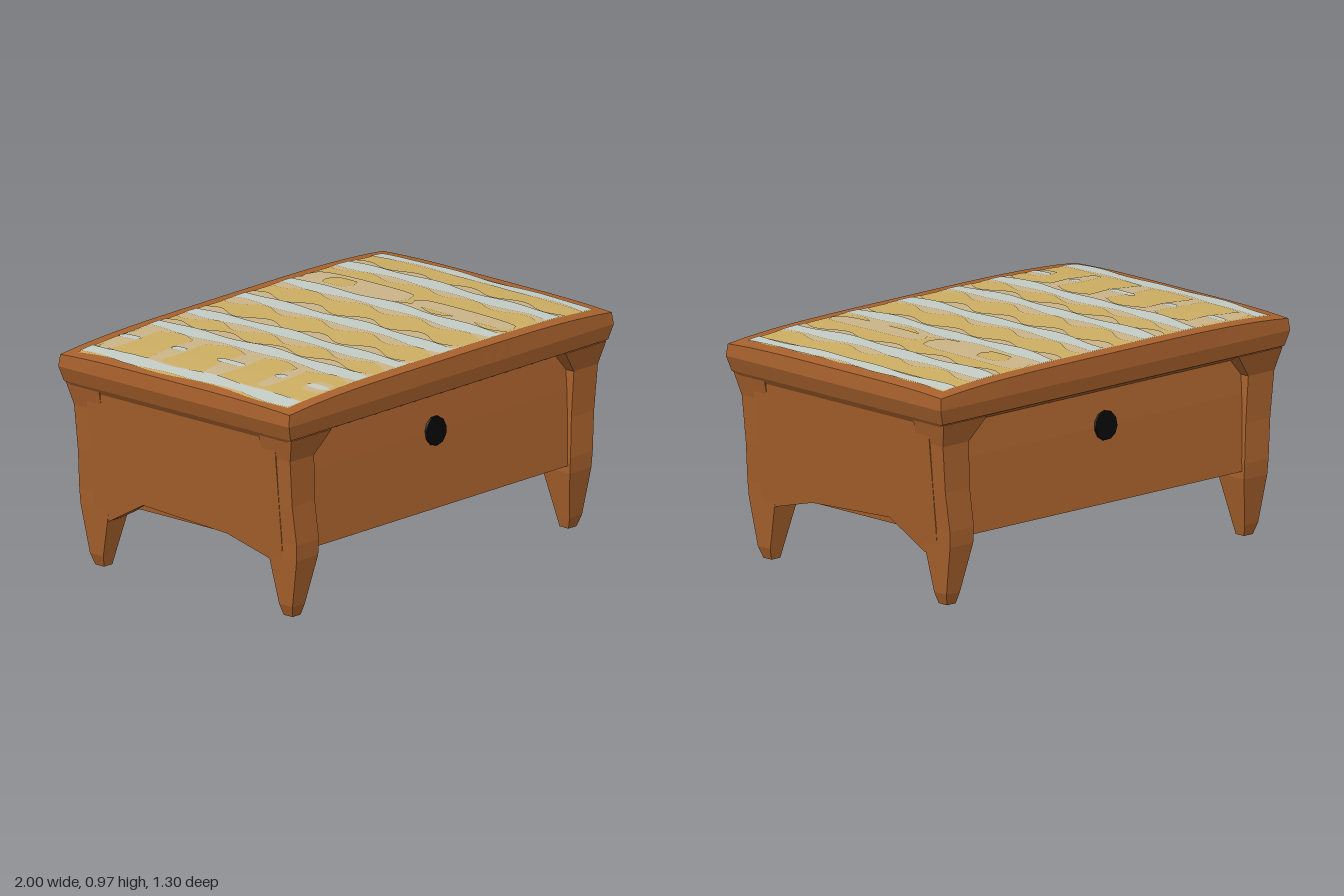
import * as THREE from 'three';

const mat = (name, color) => {
  const m = new THREE.MeshStandardMaterial({ color });
  m.name = name;
  return m;
};

// Height of the gently domed table top
const topHeight = (x, z) => 0.96 - 0.028 * x ** 4 - 0.012 * (z / 0.65) ** 4;

// Box whose horizontal section changes with height; levels: [y, x0, x1, z0, z1]
function taperedBox(levels, nx = 1, nz = 1, domed = false) {
  const last = levels.length - 1;
  const geo = new THREE.BoxGeometry(2, 1, 2, nx, last, nz);
  const p = geo.attributes.position;
  for (let i = 0; i < p.count; i++) {
    const k = Math.round((p.getY(i) + 0.5) * last);
    const [y, x0, x1, z0, z1] = levels[k];
    const x = (x0 + x1) / 2 + (p.getX(i) * (x1 - x0)) / 2;
    const z = (z0 + z1) / 2 + (p.getZ(i) * (z1 - z0)) / 2;
    p.setXYZ(i, x, domed && k === last ? topHeight(x, z) : y, z);
  }
  const flat = geo.toNonIndexed();
  flat.computeVertexNormals();
  return flat;
}

// Painted strip lying on the top; edges(z) gives its left and right x
function strip(z0, z1, lift, edges, nx = 2) {
  const nz = Math.max(6, Math.round((z1 - z0) * 50));
  const geo = new THREE.PlaneGeometry(1, 1, nx, nz).rotateX(-Math.PI / 2);
  const p = geo.attributes.position;
  for (let i = 0; i < p.count; i++) {
    const z = z0 + (p.getZ(i) + 0.5) * (z1 - z0);
    const [a, b] = edges(z);
    const x = a + (p.getX(i) + 0.5) * (b - a);
    p.setXYZ(i, x, topHeight(x, z) + lift, z);
  }
  geo.computeVertexNormals();
  return geo;
}

// Rounded patch on the top
const patch = (cx, cz, rx, rz, lift) => strip(cz - rz, cz + rz, lift, (z) => {
  const w = rx * Math.max(0, 1 - Math.abs((z - cz) / rz) ** 4) ** 0.25;
  return [cx - w, cx + w];
}, 6);

export function createModel() {
  const wood = mat('wood', 0xa9622d);
  const yellow = mat('yellow cloth', 0xcdae62);
  const tan = mat('tan cloth', 0xcbb488);
  const pale = mat('pale stripe', 0xc4cdc5);
  const black = mat('black knob', 0x080808);

  const model = new THREE.Group();
  model.name = 'table';
  const add = (name, geo, material, parent = model) => {
    const mesh = new THREE.Mesh(geo, material);
    mesh.name = name;
    parent.add(mesh);
    return mesh;
  };

  // Body: front and back lean inward towards the top
  add('body', taperedBox([
    [0.293, -0.88, 0.88, -0.597, 0.597],
    [0.62, -0.91, 0.91, -0.572, 0.572],
    [0.8, -0.93, 0.93, -0.552, 0.552],
  ]), wood);

  // Overhanging slab with sloped underside and domed top
  add('tableTop', taperedBox([
    [0.765, -0.95, 0.95, -0.552, 0.552],
    [0.805, -0.978, 0.978, -0.638, 0.638],
    [0.87, -1, 1, -0.65, 0.65],
    [0.94, -0.993, 0.993, -0.645, 0.645],
  ], 24, 18, true), wood);

  // Corner legs flaring up into the slab: [y, inner x, outer x, inner z, outer z]
  const leg = [
    [0, 0.825, 0.875, 0.505, 0.555],
    [0.05, 0.815, 0.892, 0.495, 0.57],
    [0.26, 0.775, 0.908, 0.45, 0.608],
    [0.33, 0.775, 0.912, 0.45, 0.612],
    [0.5, 0.79, 0.93, 0.45, 0.603],
    [0.7, 0.8, 0.948, 0.45, 0.608],
    [0.8, 0.72, 0.97, 0.45, 0.635],
  ];
  const span = (s, a, b) => (s > 0 ? [a, b] : [-b, -a]);
  for (const sx of [1, -1]) {
    for (const sz of [1, -1]) {
      const levels = leg.map(([y, a, b, c, d]) => [y, ...span(sx, a, b), ...span(sz, c, d)]);
      add(`${sz > 0 ? 'front' : 'back'}${sx > 0 ? 'Left' : 'Right'}Leg`, taperedBox(levels), wood);
    }
  }

  // Side panels with an arched lower edge
  const outline = [[0.53, 0.8], [0.53, 0.24], [0.46, 0.24], [0.22, 0.303],
    [-0.25, 0.328], [-0.45, 0.215], [-0.53, 0.215], [-0.53, 0.8]];
  for (const s of [1, -1]) {
    const shape = new THREE.Shape(outline.map(([z, y]) => new THREE.Vector2(-s * z, y)));
    const geo = new THREE.ExtrudeGeometry(shape, { depth: 1, bevelEnabled: false });
    geo.rotateY((s * Math.PI) / 2);
    const p = geo.attributes.position;
    for (let i = 0; i < p.count; i++) {
      const outer = 0.907 + (p.getY(i) - 0.25) * 0.1;
      p.setX(i, s * (Math.abs(p.getX(i)) > 0.5 ? outer : outer - 0.08));
    }
    geo.computeVertexNormals();
    add(s > 0 ? 'leftPanel' : 'rightPanel', geo, wood);
  }

  // Dark round knobs, front and back
  for (const s of [1, -1]) {
    const geo = new THREE.CylinderGeometry(0.062, 0.064, 0.009, 11).rotateX(s * (Math.PI / 2 - 0.09));
    add(s > 0 ? 'frontKnob' : 'backKnob', geo, black).position.set(-0.015, 0.62, s * 0.576);
  }

  // Patterned cloth: yellow ground, tan blots, pale stripes
  const cloth = new THREE.Group();
  cloth.name = 'cloth';
  model.add(cloth);
  const L = 0.59;
  add('clothGround', strip(-L, L, 0.002, (z) => [
    -0.945 + 0.012 * Math.sin(z * 11), 0.93 + 0.004 * Math.sin(z * 30)], 30), yellow, cloth);

  // [centre x, half width, phase, tan halo half width]
  const stripes = [[-0.9, 0.04, 0.3, 0.05], [-0.485, 0.043, 1, 0.085], [-0.25, 0.042, 2.4, 0.095],
    [0.04, 0.043, 0.5, 0.095], [0.33, 0.043, 1.6, 0.085], [0.685, 0.045, 3, 0.085], [0.9, 0.03, 4, 0.03]];
  for (const [x, w, ph, halo] of stripes) {
    const bulge = (z) => 0.5 + 0.5 * Math.cos((z + 0.24) * 21.5);
    add('tanHalo', strip(-L, L, 0.004, (z) => {
      const h = w + (halo - w) * (0.15 + 1.1 * bulge(z));
      return [Math.max(x - h, -0.93), Math.min(x + h, 0.93)];
    }, 4), tan, cloth);
    add('paleStripe', strip(-L, L, 0.006, (z) => {
      const h = w * (1 + 0.2 * Math.sin(z * 16 + ph));
      const c = x + 0.008 * Math.sin(z * 9 + ph);
      return [c - h, c + h];
    }), pale, cloth);
  }

  // Tan blots between the stripes
  const blots = [[-0.68, -0.53, 0.17, 0.055], [-0.69, -0.25, 0.17, 0.045], [-0.69, 0.06, 0.16, 0.06],
    [-0.69, 0.33, 0.14, 0.04], [-0.69, 0.53, 0.06, 0.06], [0.46, -0.3, 0.08, 0.29], [0.46, 0.3, 0.05, 0.28]];
  for (const [x, z, rx, rz] of blots) add('tanBlot', patch(x, z, rx, rz, 0.004), tan, cloth);
  add('yellowSpot', patch(0.45, -0.39, 0.05, 0.08, 0.006), yellow, cloth);

  // Broken pale stripe
  for (const [z0, z1] of [[-L, -0.47], [-0.29, -0.21], [-0.04, 0.12], [0.3, 0.35], [0.47, L]]) {
    add('paleDash', patch(-0.69, (z0 + z1) / 2, 0.021, (z1 - z0) / 2, 0.006), pale, cloth);
  }
  return model;
}
